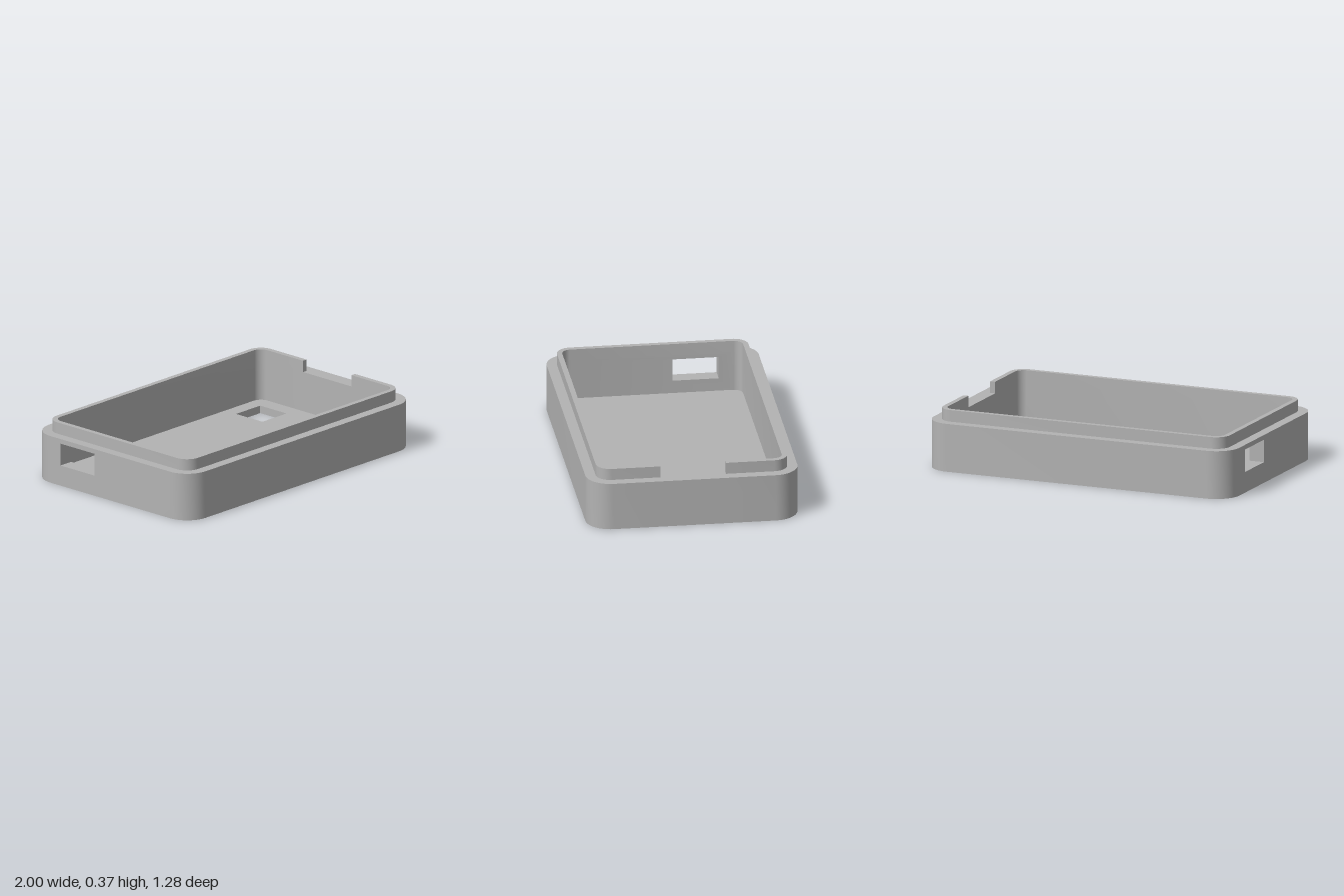
import * as THREE from 'three';
import { mergeGeometries, toCreasedNormals } from 'three/addons/utils/BufferGeometryUtils.js';

const CX = 0.85, CZ = 0.49;                 // corner arc centres
const R_IN = 0.056, R_LIP = 0.088, R_OUT = 0.15;
const FLOOR = 0.047, LEDGE = 0.294, TOP = 0.365;
const GAP = 0.197;                          // half width of the gap in the lip

const v2 = (x, y) => new THREE.Vector2(x, y);

// Rounded outline in (x, z), from the -x side round to it again,
// with two extra points where the lip gap begins and ends
function outline(r) {
  const arc = (sx, sz, start) => Array.from({ length: 13 }, (_, i) => {
    const a = start + (i / 12) * Math.PI / 2;
    return v2(sx * CX + r * Math.cos(a), sz * CZ + r * Math.sin(a));
  });
  return [
    ...arc(-1, -1, Math.PI), ...arc(1, -1, Math.PI * 1.5),
    v2(CX + r, -GAP), v2(CX + r, GAP),
    ...arc(1, 1, 0), ...arc(-1, 1, Math.PI / 2),
  ];
}

// The same outline opened at the gap
function openOutline(r) {
  const p = outline(r), h = p.length / 2;
  return [...p.slice(h), ...p.slice(0, h)];
}

const rect = (x0, y0, x1, y1) => [v2(x0, y0), v2(x1, y0), v2(x1, y1), v2(x0, y1)];

const circle = (x, z, r) => Array.from({ length: 30 }, (_, i) => {
  const a = (i / 30) * Math.PI * 2;
  return v2(x + r * Math.cos(a), z + r * Math.sin(a));
});

// Flat face in the xy plane, facing +z
function face(points, holes = []) {
  const shape = new THREE.Shape(points);
  shape.holes = holes.map((h) => new THREE.Path(h));
  return new THREE.ShapeGeometry(shape);
}

function flip(geometry) {
  geometry.index.array.reverse();
  return geometry;
}

const faceDown = (points, y, holes) => face(points, holes).rotateX(Math.PI / 2).translate(0, y, 0);
const faceUp = (points, y, holes) => flip(faceDown(points, y, holes));

// Upright band along an (x, z) path, facing outward
function band(points, y0, y1, closed = true) {
  const pos = [], index = [], n = points.length;
  for (const p of points) pos.push(p.x, y0, p.y, p.x, y1, p.y);
  for (let i = 0; i < (closed ? n : n - 1); i++) {
    const a = 2 * i, b = 2 * ((i + 1) % n);
    index.push(a, b + 1, b, a, a + 1, b + 1);
  }
  const g = new THREE.BufferGeometry();
  g.setAttribute('position', new THREE.Float32BufferAttribute(pos, 3));
  g.setIndex(index);
  return g;
}

const inward = (points) => [...points].reverse();

function part(name, pieces, material) {
  for (const g of pieces) {
    g.deleteAttribute('uv');
    g.deleteAttribute('normal');
  }
  const mesh = new THREE.Mesh(toCreasedNormals(mergeGeometries(pieces), 0.5), material);
  mesh.name = name;
  return mesh;
}

export function createModel() {
  const grey = new THREE.MeshStandardMaterial({ color: 0xb3b3b3 });
  grey.name = 'grey plastic';

  // Floor with two square windows and a ring of sound holes
  const holes = [
    rect(0.595, -0.455, 0.807, -0.24),
    rect(0.595, 0.235, 0.807, 0.45),
    circle(0.333, 0.358, 0.025),
  ];
  for (let i = 0; i < 6; i++) {
    const a = i * Math.PI / 3;
    holes.push(circle(0.333 + 0.089 * Math.cos(a), 0.358 + 0.089 * Math.sin(a), 0.025));
  }
  const floor = part('floor', [
    faceDown(outline(R_OUT), 0, holes),
    faceUp(outline(R_IN), FLOOR, holes),
    ...holes.map((h) => band(inward(h), 0, FLOOR)),
  ], grey);

  // End wall with the cable port, drawn in (z, y)
  const port = [-0.406, 0.127, -0.128, 0.265];
  const endFace = (y0, x) => face(rect(-CZ, y0, CZ, LEDGE), [rect(...port)])
    .rotateY(-Math.PI / 2).translate(x, 0, 0);
  const portSides = band(inward(rect(port[1], port[0], port[3], port[2])), CX + R_IN, CX + R_OUT)
    .rotateZ(Math.PI / 2);

  // Lip outline: outer edge, then back along the inner edge
  const lip = [...openOutline(R_LIP), ...inward(openOutline(R_IN))];
  const lipHole = [...openOutline(R_LIP), v2(CX + R_IN, -GAP), v2(CX + R_IN, GAP)];

  const walls = part('wallsWithLip', [
    band(outline(R_OUT), 0, LEDGE, false),
    band(inward(outline(R_IN)), FLOOR, LEDGE, false),
    endFace(0, -CX - R_OUT),
    flip(endFace(FLOOR, -CX - R_IN)),
    portSides,
    faceUp(outline(R_OUT), LEDGE, [lipHole]),
    band(lip, LEDGE, TOP),
    faceUp(lip, TOP),
  ], grey);

  const model = new THREE.Group();
  model.name = 'enclosureShell';
  model.add(floor, walls);
  return model;
}
